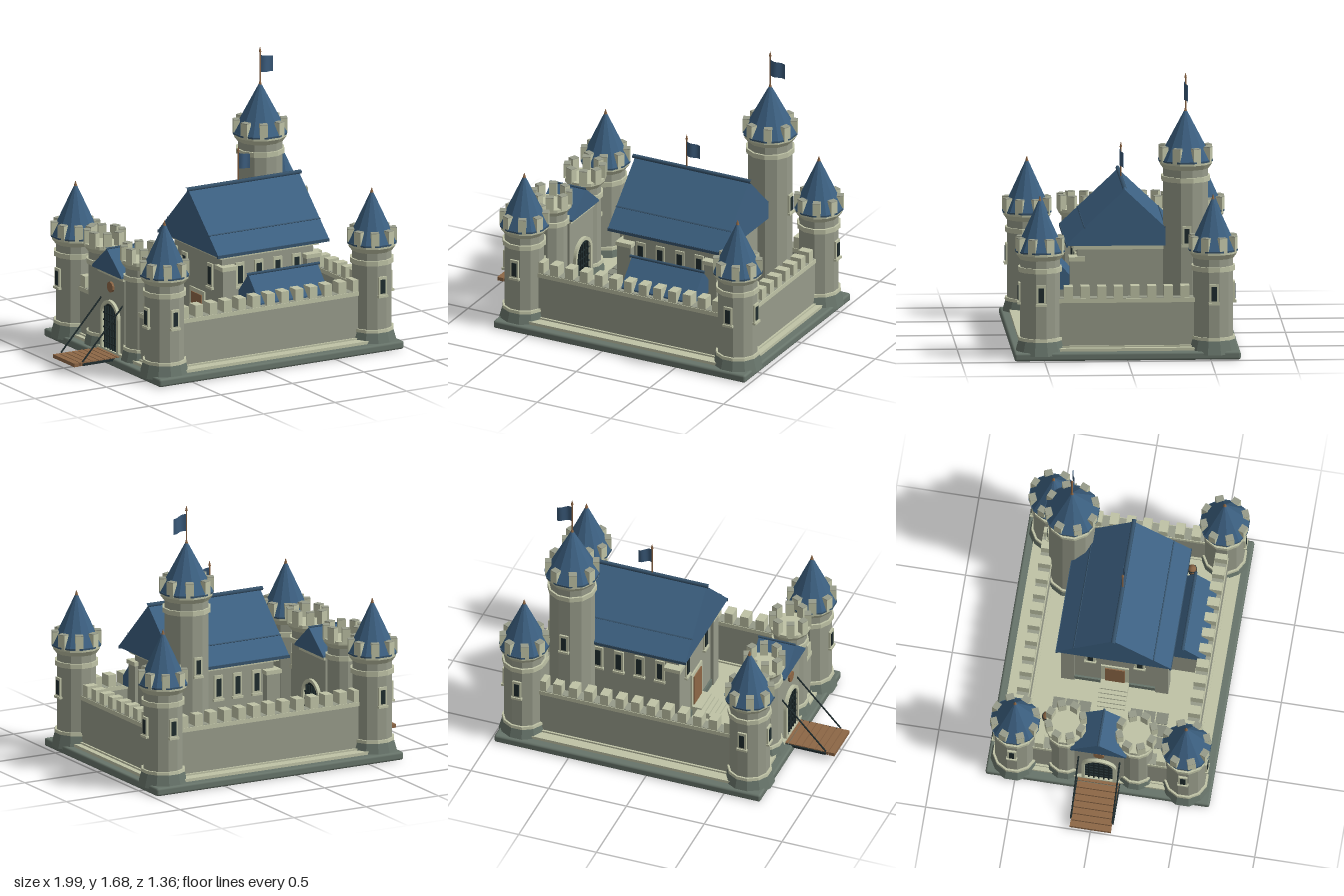
import * as THREE from 'three';
import { RoundedBoxGeometry } from 'three/addons/geometries/RoundedBoxGeometry.js';

const mat = (name, color, side = THREE.FrontSide) => {
  const m = new THREE.MeshStandardMaterial({ color, side });
  m.name = name;
  return m;
};

export function createModel() {
  const stone = mat('stone', 0x979b8a), trim = mat('paleStone', 0xbfc3a6), base = mat('mossyStone', 0x67746a);
  const roof = mat('roofBlue', 0x3c6081), roofTrim = mat('roofEdge', 0x36536c), wood = mat('wood', 0x8d6746);
  const dark = mat('darkIron', 0x1f2c2e), cloth = mat('flagCloth', 0x3a5a7a, THREE.DoubleSide), paver = mat('paver', 0x868b7d);
  const model = new THREE.Group();
  model.name = 'castle';

  const add = (parent, name, geo, m, x = 0, y = 0, z = 0) => {
    const mesh = new THREE.Mesh(geo, m);
    mesh.name = name;
    mesh.position.set(x, y, z);
    parent.add(mesh);
    return mesh;
  };
  const group = (name, x = 0, y = 0, z = 0, parent = model) => {
    const g = new THREE.Group();
    g.name = name;
    g.position.set(x, y, z);
    parent.add(g);
    return g;
  };
  // box given by its min and max on each axis
  const box = (p, name, m, x0, x1, y0, y1, z0, z1) =>
    add(p, name, new THREE.BoxGeometry(x1 - x0, y1 - y0, z1 - z0), m, (x0 + x1) / 2, (y0 + y1) / 2, (z0 + z1) / 2);
  // faceted drum from y0 to y1
  const drum = (p, name, m, r0, r1, y0, y1, x = 0, z = 0, sides = 12) => {
    const g = new THREE.CylinderGeometry(r1, r0, y1 - y0, sides).rotateY(Math.PI / sides).toNonIndexed();
    g.computeVertexNormals();
    return add(p, name, g, m, x, (y0 + y1) / 2, z);
  };
  // gable prism with its ridge along x
  const gable = (p, name, m, x0, x1, half, y0, y1, z = 0) => {
    const s = new THREE.Shape([[-half, y0], [half, y0], [half, y0 + 0.012], [0, y1], [-half, y0 + 0.012]]
      .map(([a, b]) => new THREE.Vector2(a, b)));
    const g = new THREE.ExtrudeGeometry(s, { depth: x1 - x0, bevelEnabled: false }).rotateY(Math.PI / 2);
    return add(p, name, g, m, x0, 0, z);
  };
  const rod = (p, name, m, a, b, r) => {
    const A = new THREE.Vector3(...a), B = new THREE.Vector3(...b);
    return add(p, name, new THREE.TubeGeometry(new THREE.LineCurve3(A, B), 1, r, 6), m);
  };
  // framed slit window facing +z before turning
  const windowAt = (p, x, y, z, turn, w = 0.055, h = 0.12) => {
    const g = group('window', x, y, z, p);
    g.rotation.y = turn;
    box(g, 'windowFrame', trim, -w / 2, w / 2, -h / 2, h / 2, -0.02, 0.01);
    box(g, 'windowPane', dark, -w * 0.28, w * 0.28, -h * 0.36, h * 0.36, 0.008, 0.014);
    box(g, 'windowSill', trim, -w * 0.6, w * 0.6, -h / 2 - 0.008, -h / 2 + 0.006, -0.02, 0.018);
  };
  const flag = (x, y, z, w, h, poleBase, tip) => {
    const f = group('flag', x, 0, z);
    drum(f, 'flagPole', wood, 0.005, 0.005, poleBase, tip - 0.03, 0, 0, 6);
    drum(f, 'poleTip', wood, 0.009, 0.001, tip - 0.03, tip, 0, 0, 6);
    const g = new THREE.PlaneGeometry(w, h, 8, 2).translate(w / 2, 0, 0), p = g.attributes.position;
    for (let i = 0; i < p.count; i++) {
      const t = p.getX(i) / w;
      p.setZ(i, 0.011 * Math.sin(t * 5.5));
      p.setY(i, p.getY(i) * (1 - 0.08 * t) - 0.016 * t);
    }
    g.computeVertexNormals();
    add(f, 'flagCloth', g, cloth, 0, y, 0);
  };
  const merlonRing = (p, r, y0, y1, n) => {
    for (let i = 0; i < n; i++) {
      const spoke = group('merlonSpoke', 0, 0, 0, p);
      spoke.rotation.y = (i + 0.5) / n * Math.PI * 2;
      box(spoke, 'towerMerlon', trim, -0.024, 0.024, y0, y1, r - 0.04, r);
      box(spoke, 'merlonCap', stone, -0.024, 0.024, y1, y1 + 0.004, r - 0.04, r);
    }
  };
  // round tower: r body radius, c height of the crown top
  const tower = (name, x, z, r, c, peak) => {
    const t = group(name, x, 0, z);
    const k = r + 0.024;
    drum(t, 'towerFoot', base, r + 0.032, r + 0.008, 0.03, 0.115);
    drum(t, 'footRing', trim, r + 0.014, r + 0.012, 0.113, 0.132);
    drum(t, 'towerBody', stone, r, r, 0.05, c - 0.03);
    drum(t, 'upperRing', trim, r + 0.012, r + 0.012, c - 0.125, c - 0.095);
    drum(t, 'crownFlare', trim, r + 0.002, k, c - 0.05, c - 0.02);
    drum(t, 'crown', trim, k, k, c - 0.02, c);
    merlonRing(t, k + 0.002, c - 0.01, c + 0.08, 8);
    if (peak) {
      drum(t, 'roofRim', roofTrim, k + 0.006, k + 0.006, c - 0.006, c + 0.004);
      drum(t, 'spireRoof', roof, k + 0.002, 0.006, c + 0.004, peak - 0.02);
      drum(t, 'finial', wood, 0.013, 0.002, peak - 0.038, peak, 0, 0, 8);
    }
    return t;
  };

  // Foundation and courtyard
  add(model, 'foundation', new RoundedBoxGeometry(1.71, 0.05, 1.36, 2, 0.014), base, 0.12, 0.025, 0);
  box(model, 'courtyard', trim, -0.685, 0.925, 0.045, 0.068, -0.63, 0.63);
  for (const s of [-1, 1])
    for (let i = 0; i < 3; i++)
      for (let j = 0; j < 3; j++)
        box(model, 'paver', paver, -0.435 + i * 0.079, -0.363 + i * 0.079, 0.066, 0.073,
          s * (0.235 + (j - 1) * 0.079) - 0.036, s * (0.235 + (j - 1) * 0.079) + 0.036);

  // Curtain walls, each built along its local x axis
  const wall = (name, x, z, turn, len, merlons) => {
    const w = group(name, x, 0, z), h = len / 2;
    w.rotation.y = turn;
    box(w, 'wallBody', stone, -h, h, 0.05, 0.35, -0.035, 0.035);
    box(w, 'wallFoot', trim, -h, h, 0.06, 0.078, -0.048, 0.048);
    box(w, 'wallCornice', trim, -h, h, 0.338, 0.364, -0.041, 0.041);
    box(w, 'wallWalk', stone, -h, h, 0.362, 0.367, -0.036, 0.036);
    for (const m of merlons) box(w, 'wallMerlon', trim, m - 0.027, m + 0.027, 0.364, 0.437, -0.037, 0.037);
  };
  const row = n => Array.from({ length: n }, (_, i) => (i - (n - 1) / 2) * 0.1);
  wall('frontWall', 0.115, 0.52, 0, 1.4, row(13));
  wall('backWall', 0.115, -0.52, Math.PI, 1.4, row(13));
  wall('leftWall', 0.842, 0, Math.PI / 2, 1.0, row(10));
  for (const s of [-1, 1]) wall('gateSideWall', -0.61, s * 0.37, -Math.PI / 2, 0.28, [0]);

  // Corner towers with two outward windows each
  for (const sx of [-1, 1])
    for (const sz of [-1, 1]) {
      const t = tower('cornerTower', sx < 0 ? -0.607 : 0.842, sz * 0.52, 0.122, 0.655, 0.985);
      windowAt(t, 0, 0.4, sz * 0.12, sz > 0 ? 0 : Math.PI);
      windowAt(t, sx * 0.12, 0.4, 0, sx * Math.PI / 2);
    }

  // Tall watchtower
  const watch = tower('watchTower', 0.592, -0.368, 0.138, 1.16, 1.48);
  windowAt(watch, 0.135, 0.715, 0, Math.PI / 2);
  windowAt(watch, 0, 0.715, -0.135, Math.PI);
  flag(0.592, 1.583, -0.368, 0.095, 0.105, 1.44, 1.685);

  // Gate towers and gatehouse
  for (const s of [-1, 1]) tower('gateTower', -0.585, s * 0.215, 0.1, 0.675, 0);
  const gate = group('gatehouse');
  box(gate, 'gateBody', stone, -0.665, -0.495, 0.06, 0.55, -0.15, 0.15);
  box(gate, 'gateCornice', trim, -0.675, -0.485, 0.525, 0.55, -0.15, 0.15);
  gable(gate, 'gateRoof', roof, -0.7, -0.467, 0.17, 0.55, 0.7);
  rod(gate, 'gateRidge', roofTrim, [-0.705, 0.7, 0], [-0.462, 0.7, 0], 0.007);
  for (const [x, turn] of [[-0.665, -Math.PI / 2], [-0.495, Math.PI / 2]]) {
    const arch = (w, h) => {
      const s = new THREE.Shape();
      s.moveTo(-w, 0.068);
      s.lineTo(w, 0.068);
      s.lineTo(w, h);
      s.absarc(0, h, w, 0, Math.PI, false);
      return s;
    };
    const g = group('gateway', x, 0, 0, gate);
    g.rotation.y = turn;
    const rim = arch(0.105, 0.27);
    rim.holes.push(arch(0.085, 0.27));
    add(g, 'gateArch', new THREE.ExtrudeGeometry(rim, { depth: 0.02, bevelEnabled: false }), trim);
    add(g, 'gateOpening', new THREE.ExtrudeGeometry(arch(0.087, 0.27), { depth: 0.004, bevelEnabled: false }), dark);
    for (let i = -2; i <= 2; i++) box(g, 'portcullisBar', dark, i * 0.03 - 0.004, i * 0.03 + 0.004, 0.068, 0.33, 0.004, 0.014);
    for (let i = 0; i < 5; i++) box(g, 'portcullisRail', dark, -0.084, 0.084, 0.1 + i * 0.045, 0.108 + i * 0.045, 0.004, 0.011);
  }
  const plaque = drum(gate, 'gatePlaque', wood, 0.034, 0.034, 0.449, 0.467, -0.67, 0, 10);
  plaque.rotation.z = Math.PI / 2;

  // Drawbridge with chains
  const bridge = group('drawbridge');
  for (let i = 0; i < 8; i++) box(bridge, 'plank', wood, -1 + i * 0.0425, -0.963 + i * 0.0425, 0.034, 0.056, -0.125, 0.125);
  for (const s of [-1, 1]) {
    box(bridge, 'bridgeBeam', dark, -0.945, -0.67, 0.036, 0.05, s * 0.129 - 0.004, s * 0.129 + 0.004);
    rod(bridge, 'chain', dark, [-0.945, 0.058, s * 0.125], [-0.655, 0.375, s * 0.125], 0.005);
  }

  // Great hall
  const hall = group('greatHall');
  box(hall, 'hallBody', stone, -0.06, 0.575, 0.06, 0.645, -0.28, 0.28);
  box(hall, 'hallFoot', base, -0.072, 0.587, 0.06, 0.11, -0.292, 0.292);
  box(hall, 'hallCornice', trim, -0.085, 0.6, 0.615, 0.645, -0.305, 0.305);
  for (const x of [-0.035, 0.55])
    for (const z of [-0.285, 0.285]) {
      box(hall, 'buttress', stone, x - 0.045, x + 0.045, 0.06, 0.55, z - 0.04, z + 0.04);
      box(hall, 'buttressCap', trim, x - 0.053, x + 0.053, 0.545, 0.57, z - 0.048, z + 0.048);
    }
  gable(hall, 'hallRoof', roof, -0.13, 0.645, 0.348, 0.645, 0.985);
  rod(hall, 'ridgeBeam', roofTrim, [-0.145, 0.988, 0], [0.657, 0.988, 0], 0.013);
  for (const s of [-1, 1]) {
    box(hall, 'eaveBoard', roofTrim, -0.133, 0.648, 0.638, 0.656, s * 0.346 - 0.006, s * 0.346 + 0.006);
    const seam = box(hall, 'roofSeam', roofTrim, -0.131, 0.646, 0.75, 0.76, s * 0.242 - 0.004, s * 0.242 + 0.004);
    seam.rotation.x = s * 0.76;
    for (let i = 0; i < 4; i++) windowAt(hall, 0.06 + i * 0.132, 0.5, s * 0.28, s > 0 ? 0 : Math.PI, 0.06, 0.15);
    windowAt(hall, -0.06, 0.48, s * 0.15, -Math.PI / 2, 0.06, 0.15);
  }
  box(hall, 'hallDoorFrame', trim, -0.07, -0.055, 0.068, 0.36, -0.085, 0.085);
  box(hall, 'hallDoor', wood, -0.076, -0.068, 0.068, 0.335, -0.06, 0.06);
  for (let i = 0; i < 5; i++) box(hall, 'doorStep', trim, -0.225 + i * 0.024, -0.06, 0.066, 0.08 + i * 0.013, -0.085, 0.085);
  flag(0.22, 1.118, 0, 0.085, 0.095, 0.985, 1.205);

  // Lean-to building behind the front wall
  const shed = group('sideBuilding');
  box(shed, 'shedBody', stone, 0.08, 0.51, 0.06, 0.375, 0.28, 0.49);
  gable(shed, 'shedRoof', roof, 0.055, 0.54, 0.135, 0.365, 0.525, 0.392);
  rod(shed, 'shedRidge', roofTrim, [0.043, 0.527, 0.392], [0.552, 0.527, 0.392], 0.009);

  // Barrels
  for (const [x, z] of [[-0.35, -0.37], [0.652, 0.352], [0.716, 0.344]]) {
    const b = group('barrel', x, 0, z);
    const pts = [[0, 0.066], [0.021, 0.066], [0.028, 0.1], [0.021, 0.135], [0, 0.135]].map(p => new THREE.Vector2(...p));
    add(b, 'barrelBody', new THREE.LatheGeometry(pts, 10), wood);
    for (const y of [0.083, 0.113]) drum(b, 'barrelHoop', dark, 0.028, 0.028, y, y + 0.006, 0, 0, 10);
  }
  return model;
}
